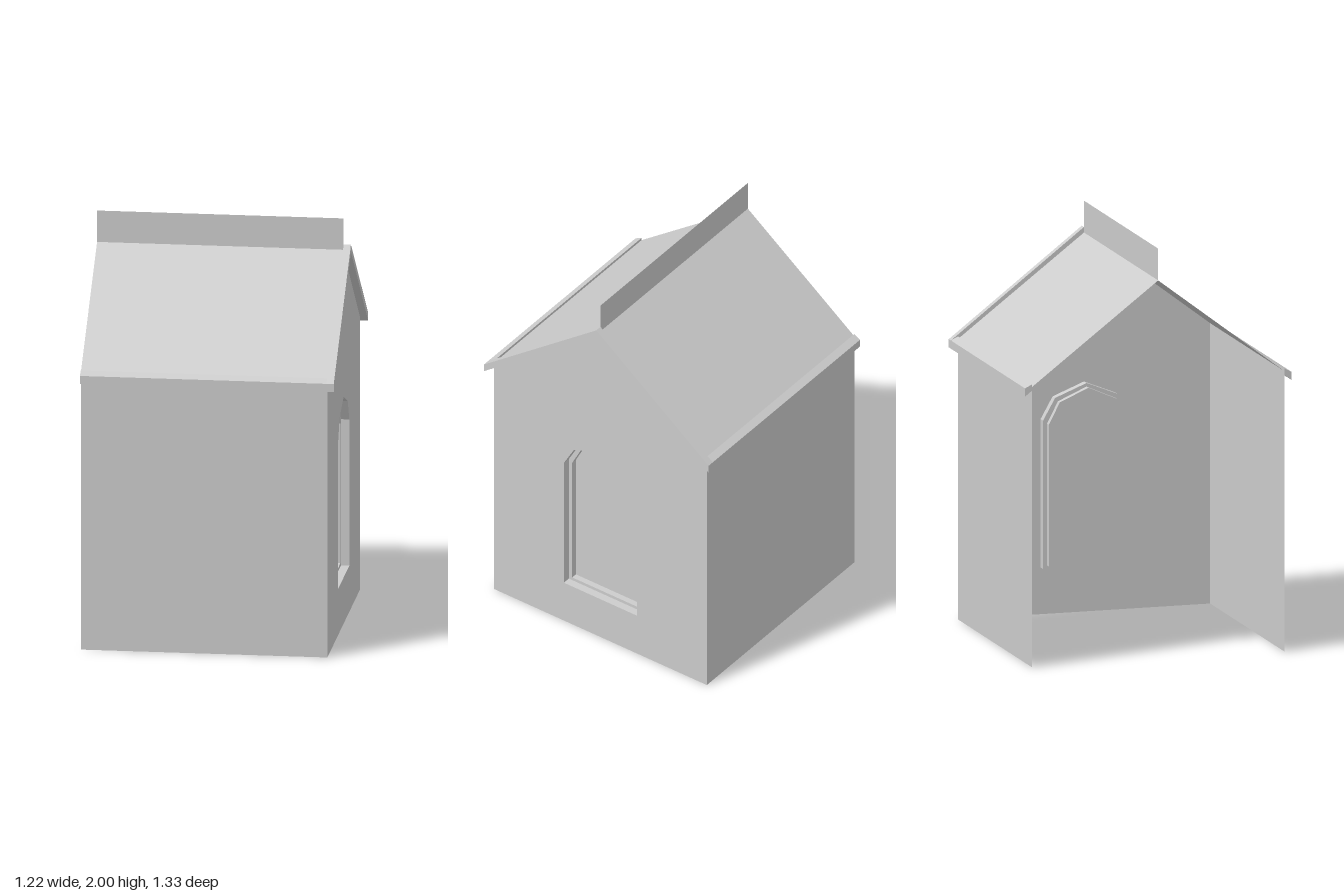
import * as THREE from 'three';

const material = new THREE.MeshStandardMaterial({ color: 0xcccccc, flatShading: true, side: THREE.DoubleSide });

const X0 = -0.61, X1 = 0.575, X2 = 0.61; // open end, gable wall, trim face
const WALL_Z = 0.63, EAVE_Z = 0.665;

function add(group, name, geometry) {
  const mesh = new THREE.Mesh(geometry, material);
  mesh.name = name;
  group.add(mesh);
  return mesh;
}

// Outline given as [z, y] pairs, lying in a plane that faces +x
const toPoints = (pairs) => pairs.map(([z, y]) => new THREE.Vector2(-z, y));

function face(pairs, x, hole) {
  const shape = new THREE.Shape(toPoints(pairs));
  if (hole) shape.holes.push(new THREE.Path(toPoints(hole)));
  return new THREE.ShapeGeometry(shape).rotateY(Math.PI / 2).translate(x, 0, 0);
}

function extrudeX(pairs, xa, xb) {
  return new THREE.ExtrudeGeometry(new THREE.Shape(toPoints(pairs)), { depth: xb - xa, bevelEnabled: false })
    .rotateY(Math.PI / 2).translate(xa, 0, 0);
}

// Thin sheet between two [z, y] lines, running along x
function sheet([za, ya], [zb, yb]) {
  const g = new THREE.BufferGeometry();
  const a = [X0, ya, za], b = [X1, ya, za], c = [X1, yb, zb], d = [X0, yb, zb];
  // keep the front of each sheet pointing outward
  const quad = za < 0 ? [a, c, b, a, d, c] : [a, b, c, a, c, d];
  g.setAttribute('position', new THREE.Float32BufferAttribute(quad.flat(), 3));
  g.computeVertexNormals();
  return g;
}

// Closed strips joining successive outlines, each { x, pairs }
function loft(rings) {
  const pos = [];
  for (let r = 0; r < rings.length - 1; r++) {
    const A = rings[r], B = rings[r + 1], n = A.pairs.length;
    for (let i = 0; i < n; i++) {
      const j = (i + 1) % n;
      const p = (R, k) => [R.x, R.pairs[k][1], R.pairs[k][0]];
      pos.push(...p(A, i), ...p(A, j), ...p(B, j), ...p(A, i), ...p(B, j), ...p(B, i));
    }
  }
  const g = new THREE.BufferGeometry();
  g.setAttribute('position', new THREE.Float32BufferAttribute(pos, 3));
  g.computeVertexNormals();
  return g;
}

// Pointed window outline
function windowOutline(w, bottom, spring, shoulderW, shoulderY, top) {
  return [[-w, bottom], [-w, spring], [-shoulderW, shoulderY], [0, top],
    [shoulderW, shoulderY], [w, spring], [w, bottom]];
}

export function createModel() {
  const model = new THREE.Group();
  model.name = 'gabledDormer';

  // Gable wall with stepped window recess
  const outer = windowOutline(0.217, 0.228, 0.95, 0.157, 1.057, 1.12);
  const inner = windowOutline(0.197, 0.244, 0.935, 0.143, 1.04, 1.103);
  const gable = [[-WALL_Z, 0], [WALL_Z, 0], [WALL_Z, 1.347], [0, 1.84], [-WALL_Z, 1.347]];
  add(model, 'gableWall', face(gable, X1, outer));
  add(model, 'windowReveal', loft([
    { x: X1, pairs: outer }, { x: X1 - 0.04, pairs: outer },
    { x: X1 - 0.04, pairs: inner }, { x: X1 - 0.07, pairs: inner },
  ]));
  add(model, 'windowPane', face(inner, X1 - 0.07));

  // Side walls, roof slopes and eaves, mirrored in z
  for (const [side, s] of [['front', 1], ['back', -1]]) {
    add(model, side + 'Wall', sheet([s * WALL_Z, 0], [s * WALL_Z, 1.347]));
    add(model, side + 'RoofSlope', sheet([s * WALL_Z, 1.365], [0, 1.845]));
    add(model, side + 'EaveTrim', extrudeX([
      [s * WALL_Z, 1.347], [s * EAVE_Z, 1.32], [s * EAVE_Z, 1.36], [s * WALL_Z, 1.378],
    ], X0, X1));
  }

  // Gable trim following both slopes
  add(model, 'gableTrim', extrudeX([
    [0, 1.872], [EAVE_Z, 1.36], [EAVE_Z, 1.32], [0, 1.835], [-EAVE_Z, 1.32], [-EAVE_Z, 1.36],
  ], X1, X2));

  // Upright plate along the ridge
  add(model, 'ridgePlate', sheet([0, 1.845], [0, 2]));

  return model;
}
